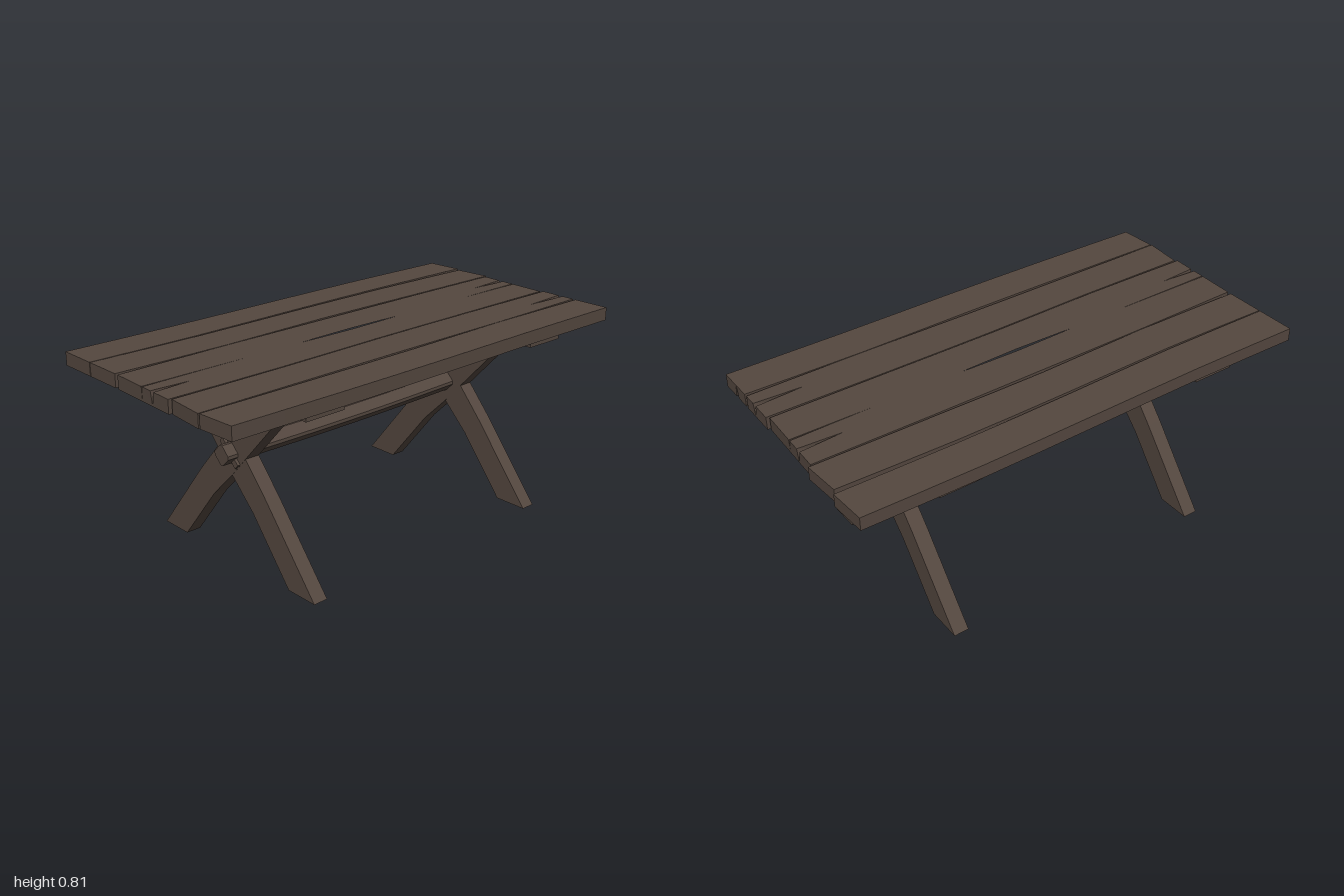
import * as THREE from 'three';

const wood = new THREE.MeshStandardMaterial({ color: 0x54473f });
wood.name = 'darkWood';

const TOP = 0.81, THICK = 0.055;

// Each plank: z of its back and front edges at five even steps from left end to right end,
// the x of those ends, plus end cracks and an optional split in the middle.
const PLANKS = [
  {
    backX: [-0.985, 0.985], back: [-0.515, -0.508, -0.512, 0.515 * -1, -0.505],
    frontX: [-0.985, 0.995], front: [-0.347, -0.342, -0.353, -0.358, -0.35],
  },
  {
    backX: [-0.985, 0.982], back: [-0.343, -0.334, -0.342, -0.344, -0.33],
    frontX: [-0.985, 0.995], front: [-0.177, -0.17, -0.183, -0.178, -0.173],
  },
  {
    backX: [-0.985, 0.982], back: [-0.16, -0.167, -0.169, -0.17, -0.166],
    frontX: [-0.995, 0.972], front: [0.165, 0.169, 0.16, 0.16, 0.16],
    cracks: [
      { end: -1, z: 0, w: 0.005, tip: -0.5 }, { end: -1, z: 0.065, w: 0.02, tip: -0.83 },
      { end: 1, z: -0.07, w: 0.022, tip: 0.8 }, { end: 1, z: 0, w: 0.006, tip: 0.64 },
    ],
    split: { x0: -0.27, x1: 0.25, z: 0, w: 0.012 },
  },
  {
    backX: [-0.985, 0.982], back: [0.173, 0.174, 0.165, 0.165, 0.17],
    frontX: [-0.998, 0.98], front: [0.338, 0.336, 0.334, 0.337, 0.333],
    cracks: [{ end: 1, z: 0.265, w: 0.022, tip: 0.78 }],
  },
  {
    backX: [-0.995, 0.98], back: [0.342, 0.346, 0.346, 0.339, 0.347],
    frontX: [-0.985, 0.98], front: [0.5, 0.508, 0.509, 0.505, 0.508],
    cracks: [{ end: 1, z: 0.42, w: 0.02, tip: 0.82, closeTop: true }],
  },
];

function add(group, geometry, name) {
  const mesh = new THREE.Mesh(geometry, wood);
  mesh.name = name;
  group.add(mesh);
  return mesh;
}

// Wavy plank edge through evenly spaced z values, as [x, z] points
function wavyEdge([x0, x1], zs) {
  const points = zs.map((z, i) => new THREE.Vector2(THREE.MathUtils.lerp(x0, x1, i / (zs.length - 1)), z));
  return new THREE.SplineCurve(points).getPoints(8).map((p) => [p.x, p.y]);
}

// Points that cut a V-shaped notch into one end of a plank
function notch(crack, a, b, direction) {
  const mouthX = (z) => a[0] + (b[0] - a[0]) * (z - a[1]) / (b[1] - a[1]);
  const z0 = crack.z - direction * crack.w / 2, z1 = crack.z + direction * crack.w / 2;
  return [[mouthX(z0), z0], [crack.tip, crack.z], [mouthX(z1), z1]];
}

function plankGeometry(plank) {
  const { cracks = [], split } = plank;
  const back = wavyEdge(plank.backX, plank.back);
  const front = wavyEdge(plank.frontX, plank.front);
  const ends = (side) => cracks.filter((c) => c.end === side).sort((p, q) => side * (p.z - q.z));
  const outline = [
    ...back,
    ...ends(1).flatMap((c) => notch(c, back.at(-1), front.at(-1), 1)),
    ...[...front].reverse(),
    ...ends(-1).flatMap((c) => notch(c, front[0], back[0], -1)),
  ];
  const toV = ([x, z]) => new THREE.Vector2(x, -z);
  const shape = new THREE.Shape(outline.map(toV));
  if (split) {
    const { x0, x1, z, w } = split, mid = (x0 + x1) / 2;
    shape.holes.push(new THREE.Path([[x0, z], [mid, z - w / 2], [x1, z], [mid, z + w / 2]].map(toV)));
  }
  const g = new THREE.ExtrudeGeometry(shape, { depth: THICK, bevelEnabled: false });
  g.rotateX(-Math.PI / 2);

  // Close each crack on one face so that it tapers through the plank
  const pos = g.attributes.position;
  const tapers = split ? [...cracks, split] : cracks;
  for (let i = 0; i < pos.count; i++) {
    const isTop = pos.getY(i) > THICK / 2;
    for (const c of tapers) {
      if (isTop === !!c.closeTop && Math.abs(pos.getZ(i) - c.z) < c.w / 2 + 0.001) pos.setZ(i, c.z);
    }
  }
  g.translate(0, TOP - THICK, 0);
  g.computeVertexNormals();
  return g;
}

// Slightly curved leg board, profile in z and y
function legGeometry(mirror, width) {
  const profile = [
    [0.355, 0.74], [0.185, 0.74], [0, 0.55], [-0.2, 0.325], [-0.465, 0],
    [-0.32, 0], [-0.12, 0.245], [0, 0.362], [0.085, 0.453],
  ];
  const shape = new THREE.Shape(profile.map(([z, y]) => new THREE.Vector2(z * mirror, y)));
  const g = new THREE.ExtrudeGeometry(shape, { depth: width, bevelEnabled: false });
  g.translate(0, 0, -width / 2);
  g.rotateY(-Math.PI / 2);
  return g;
}

// Bevelled diamond bar that sags a little in the middle
function stretcherGeometry() {
  const r = 0.041, c = 0.007, length = 1.33;
  const section = [[r, c], [c, r], [-c, r], [-r, c], [-r, -c], [-c, -r], [c, -r], [r, -c]];
  const shape = new THREE.Shape(section.map(([z, y]) => new THREE.Vector2(z, y)));
  const g = new THREE.ExtrudeGeometry(shape, { depth: length, steps: 10, bevelEnabled: false });
  g.translate(0, 0, -length / 2);
  g.rotateY(-Math.PI / 2);
  const pos = g.attributes.position;
  for (let i = 0; i < pos.count; i++) {
    const x = pos.getX(i);
    if (Math.abs(x) < 0.55) pos.setY(i, pos.getY(i) - 0.006 * Math.cos(x * Math.PI / 1.1));
  }
  g.translate(0, 0.456, 0);
  g.computeVertexNormals();
  return g;
}

export function createModel() {
  const table = new THREE.Group();
  table.name = 'table';

  // Table top
  const top = new THREE.Group();
  top.name = 'tableTop';
  PLANKS.forEach((p, i) => add(top, plankGeometry(p), `plank${i + 1}`));
  table.add(top);

  // Trestles: batten, crossed legs and locking wedge at each end
  for (const side of [-1, 1]) {
    const trestle = new THREE.Group();
    trestle.name = side > 0 ? 'leftTrestle' : 'rightTrestle';
    trestle.position.x = side * 0.587;
    add(trestle, new THREE.BoxGeometry(0.176, 0.017, 1), 'batten').position.y = 0.7465;
    add(trestle, legGeometry(1, 0.064), 'leg');
    add(trestle, legGeometry(-1, 0.062), 'crossLeg');
    const wedge = add(trestle, new THREE.BoxGeometry(0.02, 0.125, 0.026), 'wedge');
    wedge.position.set(side * 0.034, 0.456, 0);
    wedge.rotation.x = -Math.PI / 4;
    table.add(trestle);
  }

  // Stretcher between the trestles
  add(table, stretcherGeometry(), 'stretcher');
  return table;
}
